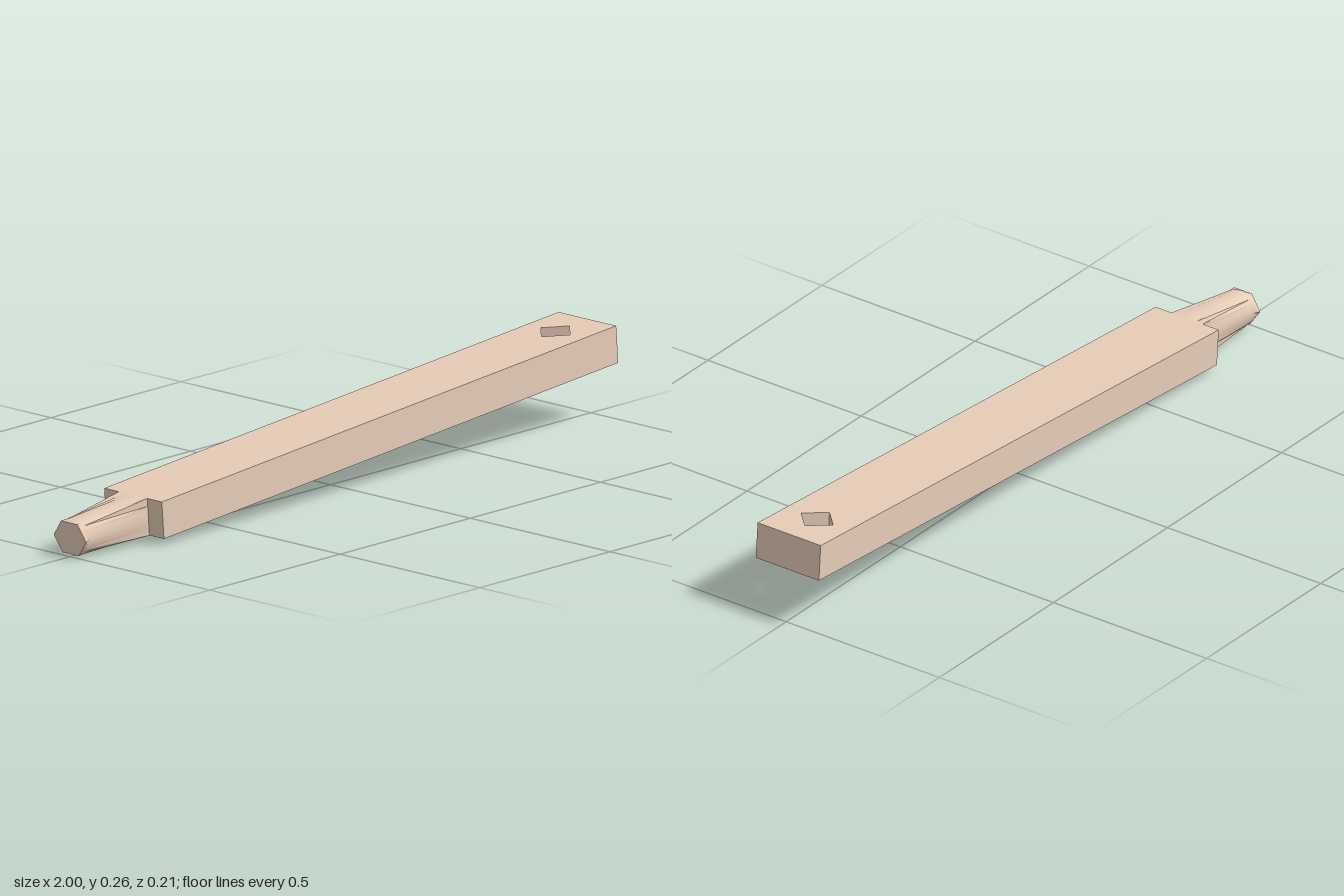
import * as THREE from 'three';
import { toCreasedNormals } from 'three/addons/utils/BufferGeometryUtils.js';

const N = 24;

// Ring of points across the bar: z by cosine, y by sine, at distance u along the bar
function ring(u, section) {
  return Array.from({ length: N + 1 }, (_, i) => {
    const [z, y] = section(i % N);
    return [u, 0.051 + y, z];
  });
}

const square = (i) => {
  const a = (i / N) * Math.PI * 2, c = Math.cos(a), s = Math.sin(a);
  const k = 0.051 / Math.max(Math.abs(c), Math.abs(s));
  return [c * k, s * k];
};
const circle = (i) => {
  const a = (i / N) * Math.PI * 2;
  return [0.051 * Math.cos(a), 0.051 * Math.sin(a)];
};
const hexagon = (i) => {
  const corner = (k) => [0.058 * Math.cos(k * Math.PI / 3), 0.05 * Math.sin(k * Math.PI / 3)];
  const step = N / 6, k = Math.floor(i / step), t = (i % step) / step;
  const p = corner(k), q = corner(k + 1);
  return [p[0] + (q[0] - p[0]) * t, p[1] + (q[1] - p[1]) * t];
};

// Skin over successive rings, closed with a flat cap at the far end
function loft(rings) {
  const v = [];
  for (let r = 0; r < rings.length - 1; r++) {
    for (let i = 0; i < N; i++) {
      const a = rings[r][i], b = rings[r][i + 1], c = rings[r + 1][i + 1], d = rings[r + 1][i];
      v.push(...a, ...b, ...c, ...a, ...c, ...d);
    }
  }
  const end = rings[rings.length - 1], centre = [end[0][0], 0.051, 0];
  for (let i = 0; i < N; i++) v.push(...centre, ...end[i], ...end[i + 1]);
  const g = new THREE.BufferGeometry();
  g.setAttribute('position', new THREE.Float32BufferAttribute(v, 3));
  return toCreasedNormals(g, 0.5);
}

export function createModel() {
  const group = new THREE.Group();
  const wood = new THREE.MeshStandardMaterial({ color: 0xe6ccb8 });

  // Long rectangular bar with a diamond peg hole near its raised end
  const outline = new THREE.Shape([[0, -0.103], [1.75, -0.103], [1.75, 0.103], [0, 0.103]]
    .map(([x, y]) => new THREE.Vector2(x, y)));
  outline.holes.push(new THREE.Path([[1.573, 0], [1.627, 0.052], [1.681, 0], [1.627, -0.052]]
    .map(([x, y]) => new THREE.Vector2(x, y))));
  const barGeometry = new THREE.ExtrudeGeometry(outline, { depth: 0.102, bevelEnabled: false });
  barGeometry.rotateX(-Math.PI / 2);
  const bar = new THREE.Mesh(barGeometry, wood);
  bar.name = 'bar';

  // Tenon: square at the shoulder, round near the tip, six-sided end face
  const tenon = new THREE.Mesh(
    loft([ring(0, square), ring(-0.23, circle), ring(-0.247, hexagon)]), wood);
  tenon.name = 'tenon';

  // The whole beam leans upward toward +x
  const beam = new THREE.Group();
  beam.name = 'beam';
  beam.add(bar, tenon);
  beam.rotation.z = 0.0785;
  beam.position.set(-0.75, 0.018, 0);
  group.add(beam);
  return group;
}
